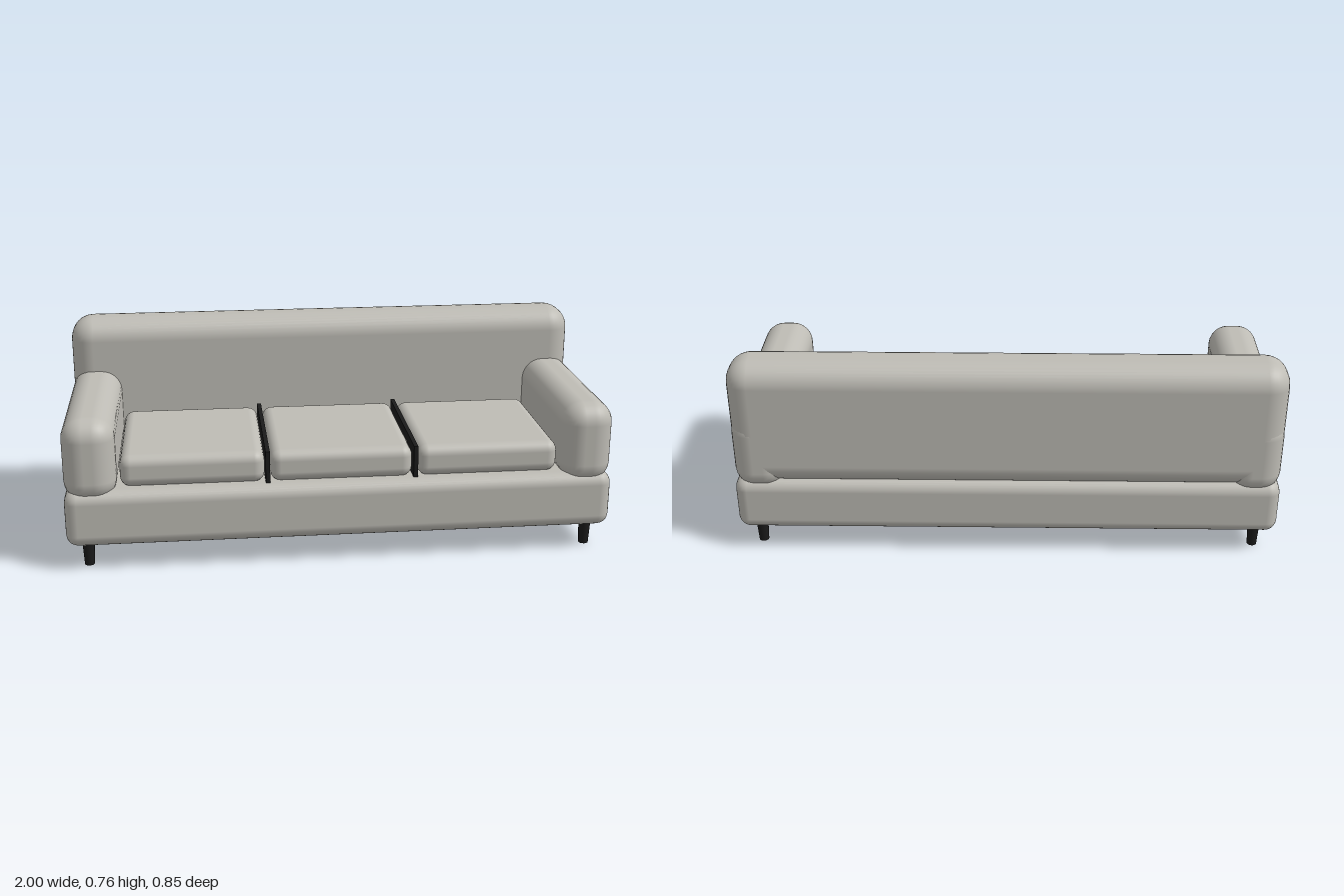
import * as THREE from 'three';
import { RoundedBoxGeometry } from 'three/addons/geometries/RoundedBoxGeometry.js';

export function createModel() {
  const sofa = new THREE.Group();
  sofa.name = 'sofa';

  const fabric = new THREE.MeshStandardMaterial({ color: 0xbebcb5 });
  fabric.name = 'warm grey fabric';
  const black = new THREE.MeshStandardMaterial({ color: 0x1a1a1a });
  black.name = 'black';

  const add = (name, geometry, material, x, y, z) => {
    const mesh = new THREE.Mesh(geometry, material);
    mesh.name = name;
    mesh.position.set(x, y, z);
    sofa.add(mesh);
  };

  // Padded block given by its min and max on each axis
  const pad = (name, [x0, x1], [y0, y1], [z0, z1], radius, segments = 4) =>
    add(name, new RoundedBoxGeometry(x1 - x0, y1 - y0, z1 - z0, segments, radius), fabric,
      (x0 + x1) / 2, (y0 + y1) / 2, (z0 + z1) / 2);

  // Base and backrest
  pad('base', [-1, 1], [0.09, 0.3], [-0.427, 0.427], 0.045, 3);
  pad('backrest', [-1, 1], [0.28, 0.765], [-0.427, -0.22], 0.085);

  // Armrests, slightly sunk into the base
  pad('leftArmrest', [0.81, 1], [0.255, 0.563], [-0.427, 0.427], 0.078);
  pad('rightArmrest', [-1, -0.81], [0.255, 0.563], [-0.427, 0.427], 0.078);

  // Three seat cushions
  for (const x of [-0.54, 0, 0.54]) {
    pad('seatCushion', [x - 0.26, x + 0.26], [0.296, 0.414], [-0.19, 0.378], 0.038, 3);
  }

  // Dark dividers between the cushions
  for (const x of [-0.27, 0.27]) {
    add('cushionDivider', new THREE.BoxGeometry(0.016, 0.12, 0.575), black, x, 0.358, 0.094);
  }

  // Tapered legs
  for (const x of [-0.925, 0.925]) {
    for (const z of [-0.352, 0.352]) {
      add('leg', new THREE.CylinderGeometry(0.023, 0.018, 0.1, 16), black, x, 0.05, z);
    }
  }

  return sofa;
}
